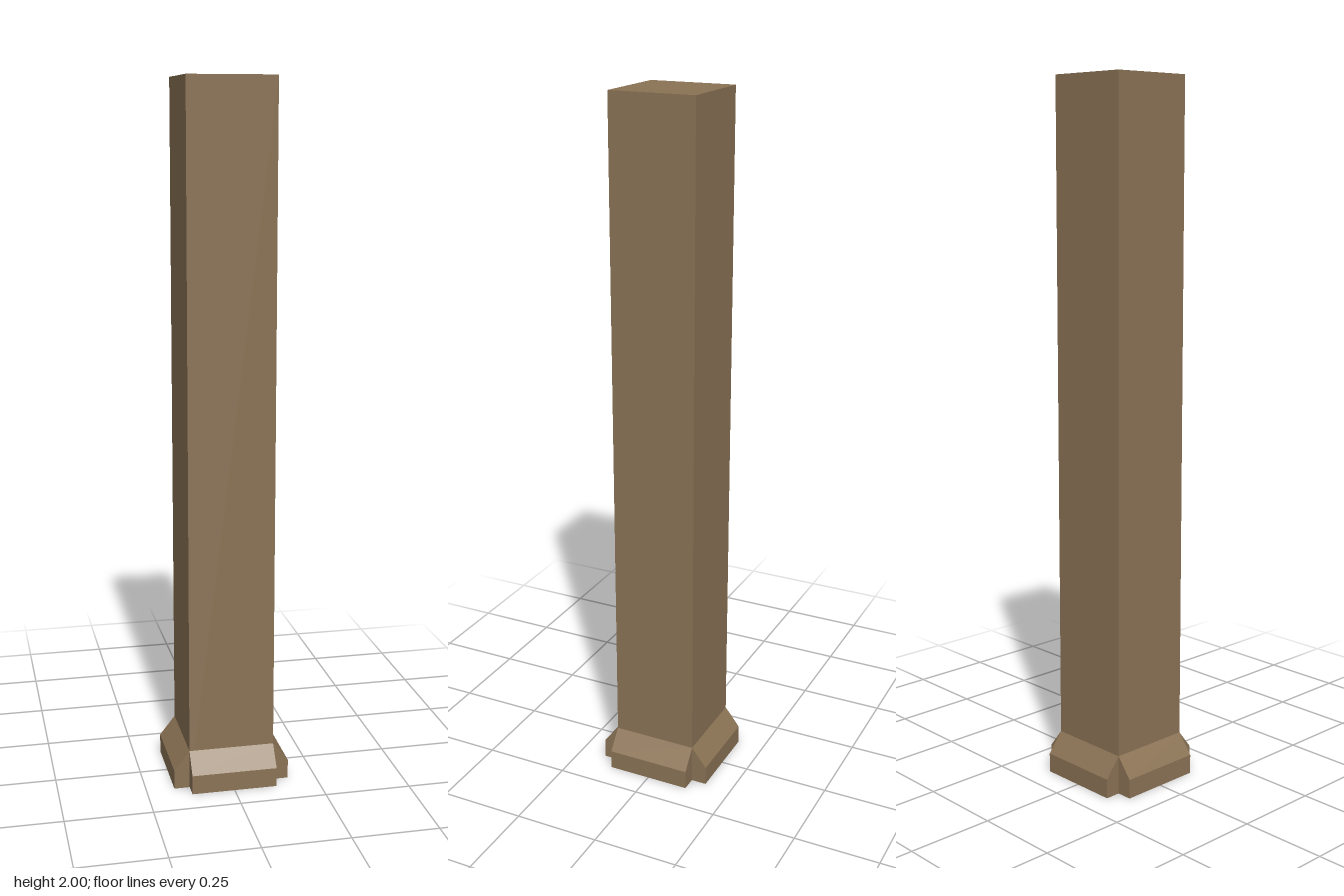
import * as THREE from 'three';

const HALF = 0.124;   // half width of the post
const REACH = 0.169;  // outer face of the base trim

export function createModel() {
  const model = new THREE.Group();
  model.name = 'squarePost';
  const wood = new THREE.MeshStandardMaterial({ color: 0x8b7355, flatShading: true });

  // Plain square shaft running the full height
  const shaft = new THREE.Mesh(new THREE.BoxGeometry(HALF * 2, 2, HALF * 2), wood);
  shaft.name = 'shaft';
  shaft.position.y = 1;
  model.add(shaft);

  // Bevelled trim board: profile in x (outward) and y, open corners between boards
  const profile = new THREE.Shape([
    new THREE.Vector2(HALF, 0),
    new THREE.Vector2(REACH, 0),
    new THREE.Vector2(REACH, 0.056),
    new THREE.Vector2(HALF, 0.113),
  ]);
  const trim = new THREE.ExtrudeGeometry(profile, { depth: HALF * 2, bevelEnabled: false });
  trim.translate(0, 0, -HALF);

  // One board on each side of the post
  ['leftTrim', 'backTrim', 'rightTrim', 'frontTrim'].forEach((name, i) => {
    const board = new THREE.Mesh(trim, wood);
    board.name = name;
    board.rotation.y = i * Math.PI / 2;
    model.add(board);
  });

  return model;
}
